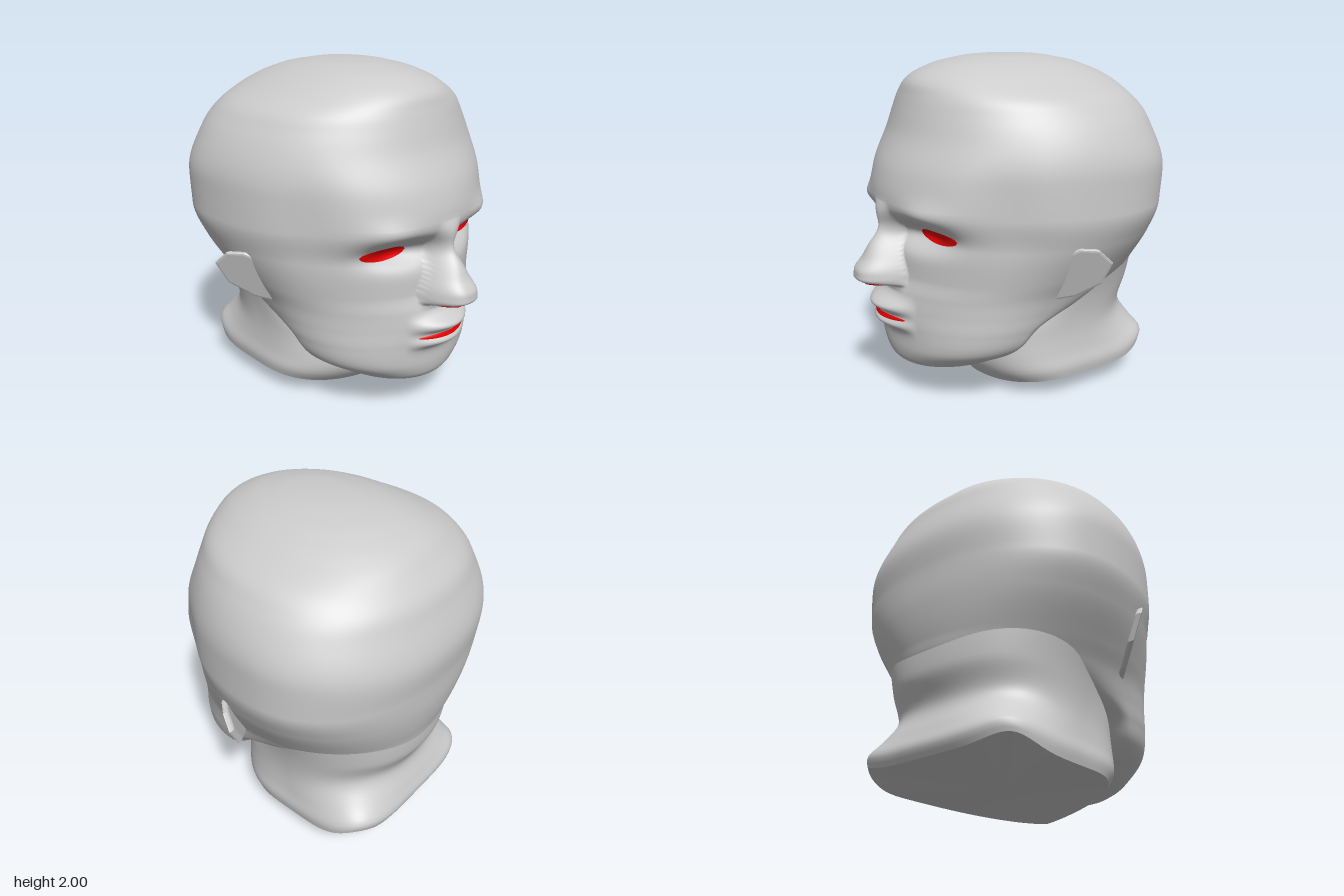
import * as THREE from 'three';

const grey = new THREE.MeshStandardMaterial({ color: 0xcccccc, side: THREE.DoubleSide });
const red = new THREE.MeshStandardMaterial({ color: 0xee0000, side: THREE.DoubleSide });
const { clamp, lerp, smoothstep } = THREE.MathUtils;
const COLS = 200;

// Rows of: height, half width, z of the widest point, front z, back z
const HEAD = [
  [0.175, 0.04, 0.42, 0.46, 0.32], [0.19, 0.16, 0.40, 0.60, 0.26], [0.22, 0.28, 0.36, 0.67, 0.22],
  [0.29, 0.43, 0.30, 0.725, 0.14], [0.37, 0.55, 0.24, 0.735, 0.06], [0.5, 0.61, 0.17, 0.735, -0.1],
  [0.6, 0.635, 0.11, 0.73, -0.55], [0.7, 0.665, 0.04, 0.73, -0.83], [0.8, 0.715, -0.04, 0.715, -0.865],
  [1.0, 0.81, -0.18, 0.715, -0.91], [1.18, 0.86, -0.25, 0.77, -0.925], [1.38, 0.86, -0.25, 0.74, -0.94],
  [1.59, 0.805, -0.2, 0.645, -0.875], [1.7, 0.74, -0.17, 0.61, -0.83], [1.79, 0.66, -0.12, 0.58, -0.75],
  [1.86, 0.53, -0.08, 0.55, -0.68], [1.92, 0.41, -0.05, 0.46, -0.56], [1.97, 0.26, -0.04, 0.3, -0.38],
  [1.995, 0.12, -0.03, 0.12, -0.19], [2.0, 0.03, -0.03, 0.01, -0.07],
];
// The same for the neck, from 0 at its rim to 1 inside the skull, plus front and back squareness
const NECK = [
  [0, 0.59, -0.25, 0.17, -0.82, 3, 5], [0.08, 0.60, -0.25, 0.23, -0.845, 3, 4.5],
  [0.2, 0.585, -0.25, 0.27, -0.82, 3, 3.2], [0.42, 0.575, -0.25, 0.26, -0.77, 3, 2.3],
  [0.68, 0.60, -0.25, 0.2, -0.838, 2.5, 2.2], [1, 0.675, -0.2, 0.2, -0.855, 2, 2.2],
];
// Height of the nose above the face
const NOSE = [
  [0.70, 0], [0.735, 0.03], [0.755, 0.16], [0.785, 0.22], [0.82, 0.22],
  [0.9, 0.17], [1.0, 0.125], [1.1, 0.06], [1.22, 0],
];

// Smooth interpolation through table rows, with slopes limited against overshoot
function sample(rows, t) {
  const last = rows.length - 1;
  t = clamp(t, rows[0][0], rows[last][0]);
  let i = 0;
  while (i < last - 1 && t > rows[i + 1][0]) i++;
  const gap = (j) => rows[j + 1][0] - rows[j][0];
  const h = gap(i);
  const u = (t - rows[i][0]) / h;
  return rows[i].slice(1).map((_, k) => {
    const v = (j) => rows[j][k + 1];
    const sec = (j) => (v(j + 1) - v(j)) / gap(j);
    const slope = (j) => {
      if (j === 0) return sec(0);
      if (j === last) return sec(last - 1);
      const a = sec(j - 1), b = sec(j);
      const limit = 2 * Math.min(Math.abs(a), Math.abs(b));
      return clamp((a * gap(j) + b * gap(j - 1)) / (gap(j) + gap(j - 1)), -limit, limit);
    };
    const u2 = u * u, u3 = u2 * u;
    return (2 * u3 - 3 * u2 + 1) * v(i) + (u3 - 2 * u2 + u) * h * slope(i)
      + (3 * u2 - 2 * u3) * v(i + 1) + (u3 - u2) * h * slope(i + 1);
  });
}

const bell = (v, centre, width) => Math.exp(-(((v - centre) / width) ** 2));

// Relief of the face: nose, eye sockets, brow, temples, lips
function relief(x, y) {
  const ax = Math.abs(x);
  const low = 1 - smoothstep(y, 0.78, 1.05);
  const noseWidth = lerp(0.09, 0.17, low);
  const nose = sample(NOSE, y)[0] * (1 - Math.min(1, ax / noseWidth) ** lerp(2, 3.2, low));
  const socket = -0.1 * bell(y, 1.05, 0.075) * bell(ax, 0.24, 0.2);
  const brow = 0.03 * bell(y, 1.19, 0.06) * bell(ax, 0.37, 0.14);
  const temple = -0.05 * bell(y, 1.2, 0.25) * bell(ax, 0.68, 0.11);
  const muzzle = 0.035 * bell(y, 0.6, 0.13) * bell(x, 0, 0.25);
  const lips = (0.08 * bell(y, 0.61, 0.045) + 0.06 * bell(y, 0.505, 0.038)) * Math.max(0, 1 - (x / 0.25) ** 2);
  return nose + socket + brow + temple + muzzle + lips;
}

function faceZ(x, y) {
  const [w, zW, zF] = sample(HEAD, y);
  return zW + (zF - zW) * Math.sqrt(Math.max(0, 1 - (x / w) ** 2)) + relief(x, y);
}

// Closed ring, denser at the front; yAt gives the height at each angle
function ring([w, zW, zF, zB, squareF = 2, squareB = 2.2], yAt, shape) {
  return Array.from({ length: COLS }, (_, j) => {
    const u = (j / COLS) * Math.PI * 2;
    const a = u - 0.5 * Math.sin(u);
    const s = Math.sin(a), c = Math.cos(a);
    const p = 2 / (c >= 0 ? squareF : squareB);
    const x = w * Math.sign(s) * Math.abs(s) ** p;
    const y = yAt(s, c);
    let z = zW + ((c >= 0 ? zF : zB) - zW) * Math.abs(c) ** p;
    if (shape && c > 0) z += shape(x, y);
    return [x, y, z];
  });
}

// Skin over rings from bottom to top, with capped ends
function loft(rings) {
  const pos = rings.flat(2), index = [];
  for (let i = 0; i < rings.length - 1; i++) {
    for (let j = 0; j < COLS; j++) {
      const a = i * COLS + j, b = i * COLS + (j + 1) % COLS;
      index.push(a, b, a + COLS, b, b + COLS, a + COLS);
    }
  }
  [rings[0], rings[rings.length - 1]].forEach((r, top) => {
    const start = pos.length / 3;
    pos.push(...r.flat());
    pos.push(...[0, 1, 2].map((k) => r.reduce((sum, p) => sum + p[k], 0) / COLS));
    for (let j = 0; j < COLS; j++) {
      const a = start + j, b = start + (j + 1) % COLS;
      index.push(...(top ? [a, b] : [b, a]), start + COLS);
    }
  });
  const geo = new THREE.BufferGeometry();
  geo.setAttribute('position', new THREE.Float32BufferAttribute(pos, 3));
  geo.setIndex(index);
  geo.computeVertexNormals();
  return geo;
}

// Almond-shaped patch that follows the face
function patch(cx, cy, rx, ry, lift) {
  const geo = new THREE.PlaneGeometry(2, 2, 24, 8);
  const p = geo.attributes.position;
  for (let i = 0; i < p.count; i++) {
    const u = p.getX(i), v = p.getY(i);
    const open = (1 - u * u) ** 0.5;
    const x = cx + rx * u, y = cy + ry * v * open;
    p.setXYZ(i, x, y, faceZ(x, y) + lift * (0.5 + 0.5 * open * (1 - v * v)));
  }
  geo.computeVertexNormals();
  return geo;
}

// Ear plate, buried at the front and flaring outward to the back and top
function earGeometry(side) {
  const outline = [[0.06, 0.68], [0.055, 0.95], [-0.02, 1.0], [-0.09, 1.0], [-0.155, 0.935], [-0.14, 0.81], [-0.05, 0.72]];
  const shape = new THREE.Shape(outline.map(([z, y]) => new THREE.Vector2(-z, y)));
  const geo = new THREE.ExtrudeGeometry(shape, {
    depth: 0.02, bevelThickness: 0.012, bevelSize: 0.014, bevelSegments: 2,
  });
  geo.translate(0, 0, -0.01).rotateY(Math.PI / 2);
  const p = geo.attributes.position;
  for (let i = 0; i < p.count; i++) {
    const out = 0.8 + (p.getY(i) - 0.95) * 0.4 - (p.getZ(i) + 0.05) * 0.8;
    p.setX(i, p.getX(i) + side * out);
  }
  geo.computeVertexNormals();
  return geo;
}

export function createModel() {
  const model = new THREE.Group();
  const add = (name, geo, mat = grey) => {
    const mesh = new THREE.Mesh(geo, mat);
    mesh.name = name;
    model.add(mesh);
  };

  // Skull, face and jaw, with fine rows through the features
  const heights = [];
  for (let i = 0; i < 26; i++) heights.push(lerp(0.175, 0.45, (i / 26) ** 1.6));
  for (let i = 0; i < 90; i++) heights.push(lerp(0.45, 1.22, i / 90));
  for (let i = 0; i <= 40; i++) heights.push(lerp(1.22, 2, Math.sin((i / 40) * Math.PI / 2)));
  add('head', loft(heights.map((y) => ring(sample(HEAD, y), () => y, relief))));

  // Neck with a rim that dips at the front and rises at the back corners
  const rim = (s, c) => (c > 0 ? 0.13 * Math.abs(s) ** 0.8 : 0.13 + 0.035 * c * c + 0.24 * (s * c) ** 2);
  const neckRings = Array.from({ length: 31 }, (_, i) => {
    const t = i / 30;
    return ring(sample(NECK, t), (s, c) => lerp(rim(s, c), 0.85, t));
  });
  add('neck', loft(neckRings));

  // Paired parts
  for (const [side, label] of [[1, 'left'], [-1, 'right']]) {
    add(`${label}Ear`, earGeometry(side));
    add(`${label}Eye`, patch(side * 0.333, 1.052, 0.138, 0.04, 0.012), red);
    add(`${label}Nostril`, patch(side * 0.088, 0.755, 0.036, 0.014, 0.012), red);
  }
  add('mouth', patch(0, 0.546, 0.2, 0.014, 0.012), red);
  return model;
}
